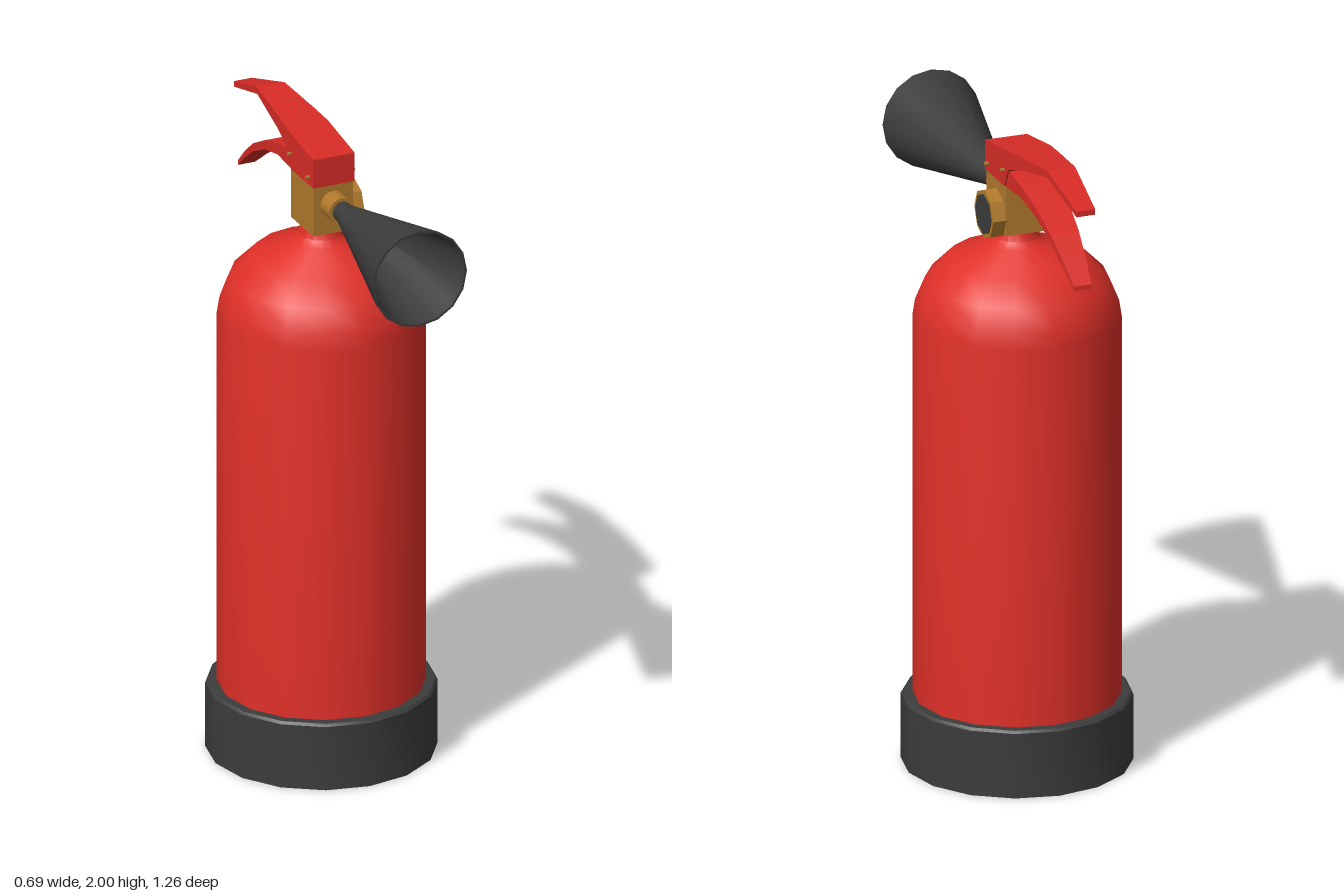
import * as THREE from 'three';
import { toCreasedNormals } from 'three/addons/utils/BufferGeometryUtils.js';

const CZ = -0.07; // axis of the tank

export function createModel() {
  const group = new THREE.Group();
  const paint = (color) => new THREE.MeshStandardMaterial({ color });
  const red = paint(0xe03028);
  const redFlat = paint(0xd82c26);
  redFlat.flatShading = true;
  const dark = paint(0x3c3c3c);
  const brass = paint(0xb07a2c);

  function add(name, geometry, material, x = 0, y = 0, z = 0) {
    const mesh = new THREE.Mesh(geometry, material);
    mesh.name = name;
    mesh.position.set(x, y, z);
    group.add(mesh);
    return mesh;
  }

  // Turned part with 16 sides, profile listed from bottom to top
  function turned(profile, crease = 0.75) {
    const points = profile.map(([r, y]) => new THREE.Vector2(r, y));
    return toCreasedNormals(new THREE.LatheGeometry(points, 16), crease);
  }

  // Tapered bar: sections [z, bottom, top, halfWidth] running towards -z
  function bar(sections) {
    const positions = [];
    const index = [];
    sections.forEach(([z, bottom, top, w]) => {
      positions.push(-w, bottom, z, w, bottom, z, w, top, z, -w, top, z);
    });
    for (let i = 0; i < sections.length - 1; i++) {
      for (let k = 0; k < 4; k++) {
        const a = i * 4 + k;
        const b = i * 4 + ((k + 1) % 4);
        index.push(a, a + 4, b, b, a + 4, b + 4);
      }
    }
    const e = (sections.length - 1) * 4;
    index.push(0, 1, 2, 0, 2, 3, e, e + 2, e + 1, e, e + 3, e + 2);
    const geometry = new THREE.BufferGeometry();
    geometry.setAttribute('position', new THREE.Float32BufferAttribute(positions, 3));
    geometry.setIndex(index);
    const flat = geometry.toNonIndexed();
    flat.computeVertexNormals();
    return flat;
  }

  // Foot ring and tank
  add('base', turned([[0, 0], [0.347, 0], [0.347, 0.205], [0.34, 0.213], [0.3, 0.213]], 0.6),
    dark, 0, 0, CZ);
  add('tank', turned([
    [0.312, 0.2], [0.312, 1.41], [0.304, 1.46], [0.275, 1.53], [0.205, 1.6],
    [0.09, 1.645], [0.068, 1.665], [0.062, 1.71],
  ]), red, 0, 0, CZ);

  // Valve block with outlet
  add('valveBlock', new THREE.BoxGeometry(0.13, 0.16, 0.16), brass, 0, 1.775, -0.065);
  const outlet = new THREE.CylinderGeometry(0.042, 0.042, 0.07, 16).rotateX(Math.PI / 2);
  add('outlet', outlet, brass, 0, 1.79, 0.042);

  // Octagonal pressure gauge on the left side
  const octagon = (radius, depth) => toCreasedNormals(
    new THREE.CylinderGeometry(radius, radius, depth, 8).rotateZ(-Math.PI / 2), 0.5);
  add('gaugeBody', octagon(0.077, 0.045), brass, 0.084, 1.745, CZ);
  add('gaugeFace', octagon(0.064, 0.006), dark, 0.106, 1.745, CZ);

  // Hollow discharge horn
  const horn = turned([
    [0, 0.06], [0.03, 0.06], [0.032, 0.105], [0.155, 0.632],
    [0.148, 0.632], [0.025, 0.13], [0, 0.13],
  ], 0.6).rotateX(Math.PI / 2);
  add('horn', horn, dark, 0, 1.79, 0);

  // Squeeze lever above, carrying handle below
  add('upperLever', bar([
    [0.02, 1.853, 1.945, 0.068],
    [-0.14, 1.853, 1.97, 0.068],
    [-0.17, 1.915, 1.975, 0.068],
    [-0.25, 1.942, 1.984, 0.061],
    [-0.43, 1.978, 2.0, 0.045],
    [-0.63, 1.92, 1.938, 0.03],
  ]), redFlat);
  add('lowerHandle', bar([
    [-0.1, 1.853, 1.912, 0.064],
    [-0.17, 1.853, 1.908, 0.064],
    [-0.25, 1.855, 1.893, 0.06],
    [-0.36, 1.828, 1.857, 0.053],
    [-0.46, 1.78, 1.806, 0.045],
    [-0.54, 1.725, 1.747, 0.036],
    [-0.605, 1.675, 1.69, 0.028],
  ]), redFlat);

  // Hinge pins
  [[1.88, -0.008], [1.905, -0.138]].forEach(([y, z]) => {
    const pin = new THREE.CylinderGeometry(0.006, 0.006, 0.16, 8).rotateZ(Math.PI / 2);
    add('hingePin', pin, brass, 0, y, z);
  });

  return group;
}
